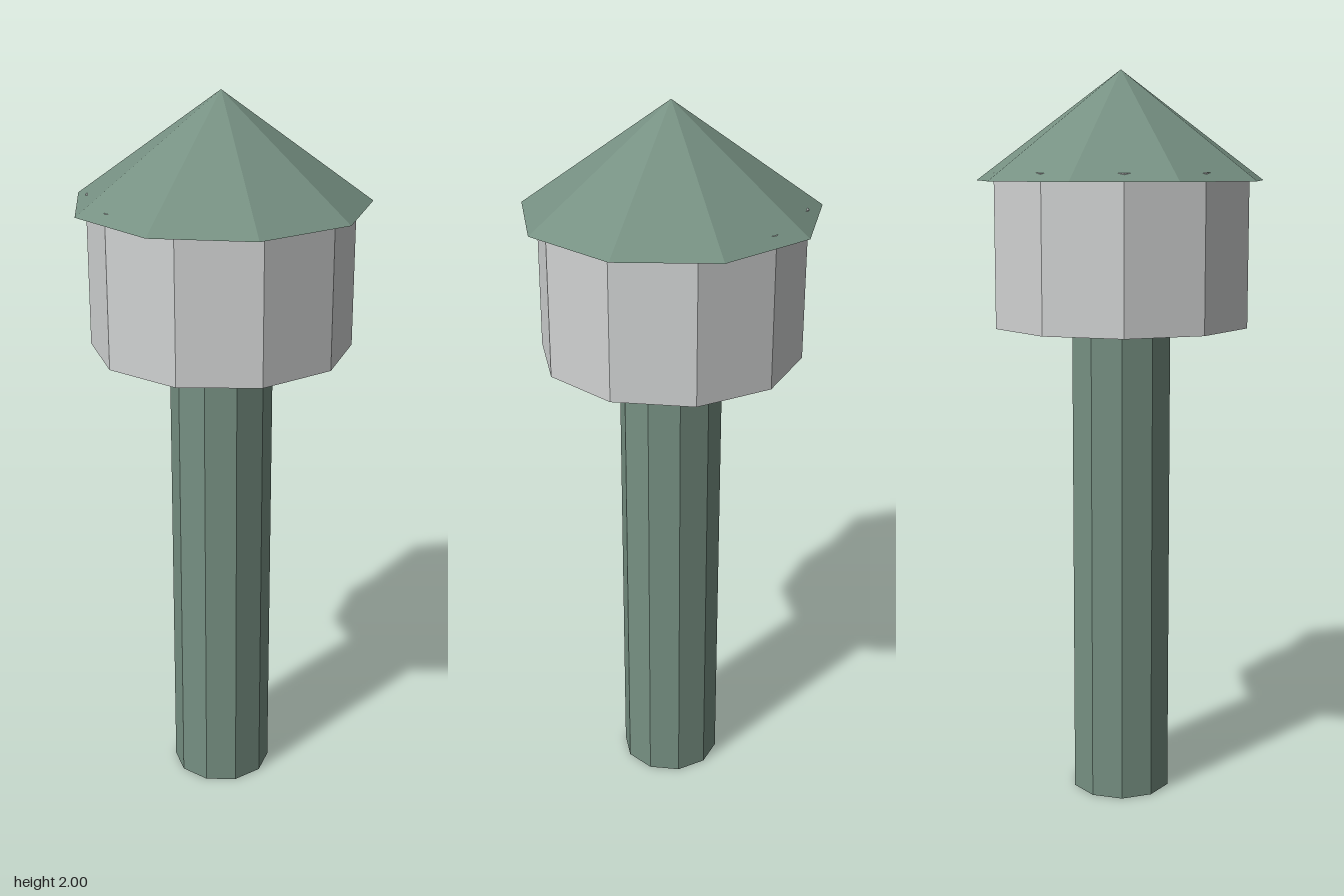
import * as THREE from 'three';

export function createModel() {
  const model = new THREE.Group();
  model.name = 'tower';

  const material = (name, color) => {
    const m = new THREE.MeshStandardMaterial({ color, flatShading: true });
    m.name = name;
    return m;
  };
  const green = material('sage green', 0x769082);
  const grey = material('light grey', 0xd0d2d2);

  // Upright faceted part with one corner pointing to +x
  const addPart = (name, mat, topRadius, bottomRadius, sides, y0, y1) => {
    const geometry = new THREE.CylinderGeometry(
      topRadius, bottomRadius, y1 - y0, sides, 1, false, Math.PI / 2);
    const mesh = new THREE.Mesh(geometry, mat);
    mesh.name = name;
    mesh.position.set(-0.0135, (y0 + y1) / 2, 0);
    model.add(mesh);
  };

  addPart('column', green, 0.1395, 0.1395, 10, 0, 1.325);
  // The head's top corners just break through the roof slope
  addPart('head', grey, 0.352, 0.352, 10, 1.322, 1.732);
  addPart('roof', green, 0, 0.3985, 9, 1.71, 2);

  return model;
}
